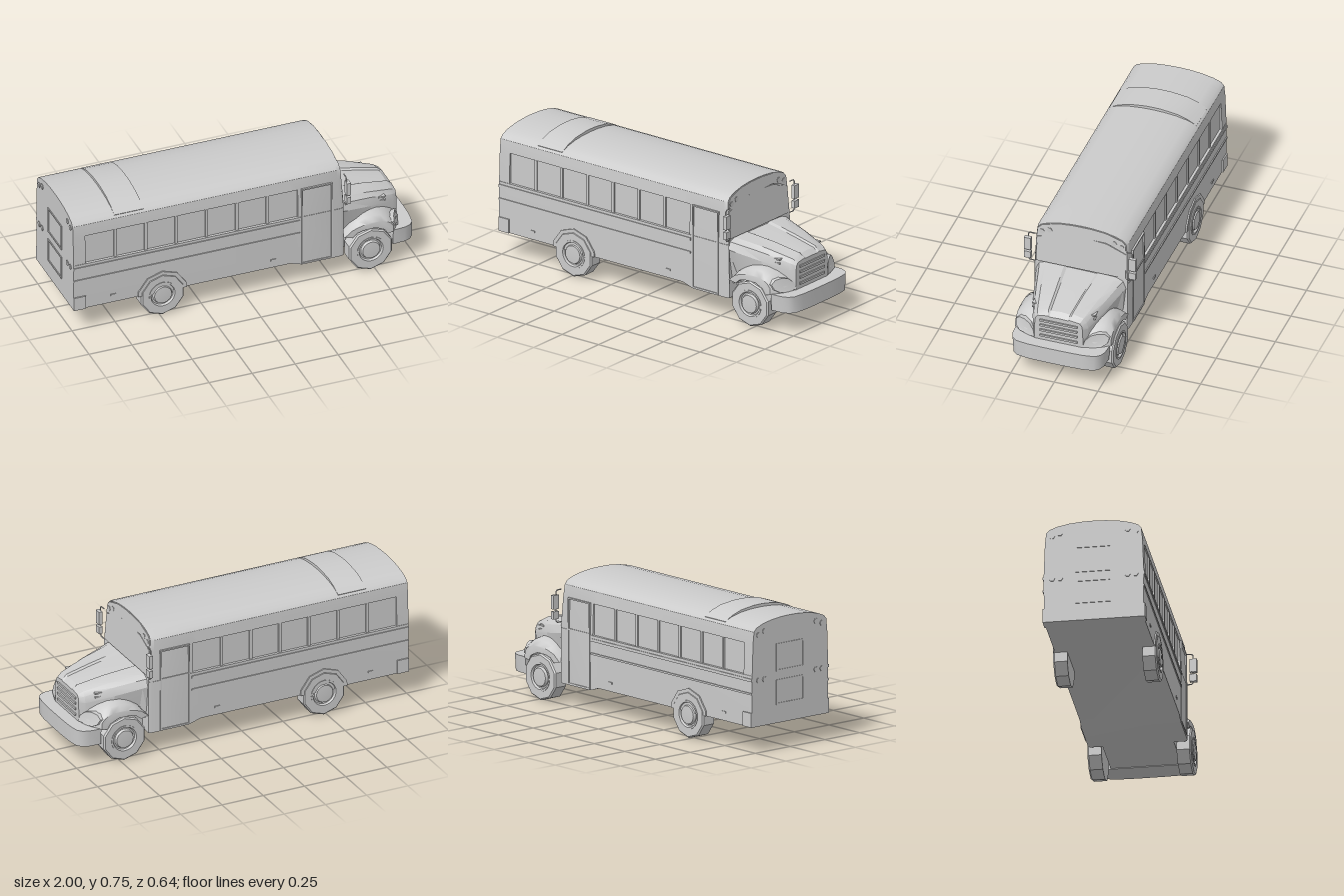
import * as THREE from 'three';
import { toCreasedNormals } from 'three/addons/utils/BufferGeometryUtils.js';

const material = new THREE.MeshStandardMaterial({ color: 0xcccccc, side: THREE.DoubleSide });

// Move every vertex by a rule
function bend(geo, rule) {
  const p = geo.attributes.position, v = new THREE.Vector3();
  for (let i = 0; i < p.count; i++) {
    rule(v.fromBufferAttribute(p, i));
    p.setXYZ(i, v.x, v.y, v.z);
  }
  return geo;
}

// Copy reflected across z = 0, with the winding restored
function reflect(geo) {
  const g = geo.index ? geo.toNonIndexed() : geo.clone();
  g.scale(1, 1, -1);
  const p = g.attributes.position, a = new THREE.Vector3(), b = new THREE.Vector3();
  for (let i = 0; i < p.count; i += 3) {
    a.fromBufferAttribute(p, i + 1);
    b.fromBufferAttribute(p, i + 2);
    p.setXYZ(i + 1, b.x, b.y, b.z);
    p.setXYZ(i + 2, a.x, a.y, a.z);
  }
  return g;
}

// Skin symmetric sections; each is { x, half: [[z, y], ...] } from floor to ridge
function loft(sections) {
  const pos = [], idx = [];
  const n = sections[0].half.length * 2 - 1;
  for (const { x, half } of sections) {
    const at = typeof x === 'function' ? x : () => x;
    for (const [z, y] of half) pos.push(at(y), y, z);
    for (const [z, y] of half.slice(0, -1).reverse()) pos.push(at(y), y, -z);
  }
  for (let s = 0; s < sections.length - 1; s++) for (let i = 0; i < n; i++) {
    const a = s * n + i, b = s * n + (i + 1) % n;
    idx.push(a, a + n, b, b, a + n, b + n);
  }
  const e = (sections.length - 1) * n;
  for (let i = 1; i < n - 1; i++) idx.push(0, i, i + 1, e, e + i + 1, e + i);
  const g = new THREE.BufferGeometry();
  g.setAttribute('position', new THREE.Float32BufferAttribute(pos, 3));
  g.setIndex(idx);
  return g;
}

const shapeOf = pts => new THREE.Shape(pts.map(([x, y]) => new THREE.Vector2(x, y)));
const extrude = (shape, depth, steps = 1) =>
  new THREE.ExtrudeGeometry(shape, { depth, steps, bevelEnabled: false, curveSegments: 10 });
const box = (x0, x1, y0, y1, z0, z1) => new THREE.BoxGeometry(x1 - x0, y1 - y0, z1 - z0)
  .translate((x0 + x1) / 2, (y0 + y1) / 2, (z0 + z1) / 2);
// x of the raked cab front at a height
const cabFront = y => 0.55 + (0.73 - Math.max(y, 0.45)) * 0.08;

export function createModel() {
  const bus = new THREE.Group();
  const add = (name, geo, crease = 0.6) => {
    const m = new THREE.Mesh(toCreasedNormals(geo, crease), material);
    m.name = name;
    bus.add(m);
  };
  const pair = (name, geo, crease) => {
    add(name + 'Left', geo, crease);
    add(name + 'Right', reflect(geo), crease);
  };

  // Body shell with a recessed window band
  const bodyHalf = (floor, win = 0, k = 1) => [
    [0.272, floor], [0.274, 0.43], [win || 0.273, 0.431], [win || 0.267, 0.604], [0.267, 0.605],
    [0.26, 0.672], [0.243, 0.692], [0.2, 0.709], [0.135, 0.723], [0.065, 0.73], [0, 0.732],
  ].map(([z, y]) => [z * k, y]);
  add('body', loft([
    { x: -1, half: bodyHalf(0.145) },
    { x: -0.93, half: bodyHalf(0.145) },
    { x: -0.93, half: bodyHalf(0.145, 0.26) },
    { x: 0.26, half: bodyHalf(0.145, 0.26) },
    { x: 0.305, half: bodyHalf(0.13, 0.26) },
    { x: 0.305, half: bodyHalf(0.13) },
    { x: 0.33, half: bodyHalf(0.123) },
    { x: y => cabFront(y) - 0.02, half: bodyHalf(0.123) },
    { x: cabFront, half: bodyHalf(0.123, 0, 0.975) },
  ]));
  add('roofHatch', loft([-0.755, -0.585].map(x => ({
    x, half: [[0.24, 0.66], [0.25, 0.688], [0.2, 0.715], [0.135, 0.736], [0.045, 0.747], [0, 0.748]],
  }))));

  // Window posts, side rails, marker lamps, rear corner guards
  for (let i = 1; i < 7; i++) {
    const x = -0.93 + i * 1.235 / 7;
    pair('windowPost', box(x - 0.008, x + 0.008, 0.43, 0.605, 0.25, 0.268));
  }
  for (const [y, h] of [[0.398, 0.016], [0.325, 0.01]])
    pair('sideRail', box(-1, 0.315, y, y + h, 0.265, 0.279));
  for (const x of [-0.77, 0.16]) pair('markerLamp', box(x - 0.015, x + 0.015, 0.188, 0.198, 0.265, 0.277));
  pair('rearGuard', box(-1, -0.93, 0.145, 0.225, 0.2, 0.28));
  add('rearBumper', box(-1, -0.985, 0.145, 0.225, -0.2, 0.2));

  // Door frames on both sides, with a window sill on the far one
  for (const x of [0.325, 0.497]) pair('doorPost', box(x, x + 0.008, 0.13, 0.605, 0.262, 0.277));
  pair('doorHead', box(0.325, 0.505, 0.6, 0.608, 0.26, 0.277));
  pair('doorSill', box(0.325, 0.505, 0.128, 0.136, 0.26, 0.277));
  add('doorWindowSill', box(0.33, 0.5, 0.43, 0.438, -0.277, -0.262));

  // Emergency door windows at the rear
  for (const [y0, y1] of [[0.245, 0.385], [0.43, 0.585]]) {
    const frame = shapeOf([[-0.1, y0], [0.1, y0], [0.1, y1], [-0.1, y1]]);
    frame.holes.push(shapeOf([[-0.09, y0 + 0.01], [-0.09, y1 - 0.01], [0.09, y1 - 0.01], [0.09, y0 + 0.01]]));
    add('rearWindowFrame', extrude(frame, 0.006).rotateY(Math.PI / 2).translate(-1.004, 0, 0));
  }

  // Hexagonal lamps, front and rear
  const lamp = (x, y, z) => new THREE.CylinderGeometry(0.016, 0.016, 0.012, 6)
    .rotateZ(Math.PI / 2).translate(x, y, z);
  for (const [z, y] of [[0.185, 0.668], [0.228, 0.652]]) {
    pair('roofLampFront', lamp(cabFront(y), y, z));
    pair('roofLampRear', lamp(-0.998, y, z));
    pair('tailLamp', lamp(-0.998, 0.4, z));
  }

  // Windscreen and brow, following the cab rake
  const frontPanel = (pts, depth) => bend(extrude(shapeOf(pts), depth).rotateY(Math.PI / 2),
    v => { v.x += cabFront(v.y) - 0.003; });
  const outline = half => [...half, ...half.map(([z, y]) => [-z, y]).reverse()];
  add('windscreen', frontPanel(outline([[0.257, 0.462], [0.255, 0.612], [0.14, 0.655], [0.05, 0.661]]), 0.006));
  add('brow', frontPanel(outline([[0.255, 0.618], [0.25, 0.672], [0.23, 0.692], [0.135, 0.72], [0.05, 0.727]])
    .concat([[-0.05, 0.667], [-0.14, 0.661], [-0.255, 0.618]].slice(0, 2), [[0.14, 0.661]]), 0.007));

  // Tapering hood with two ridges
  add('hood', loft([
    { x: 0.56, half: [[0.24, 0.2], [0.262, 0.4], [0.245, 0.44], [0.205, 0.455], [0.1, 0.457], [0.085, 0.449], [0, 0.449]] },
    { x: 0.6, half: [[0.2, 0.2], [0.25, 0.39], [0.232, 0.432], [0.196, 0.449], [0.096, 0.452], [0.081, 0.444], [0, 0.445]] },
    { x: 0.75, half: [[0.195, 0.2], [0.21, 0.36], [0.195, 0.405], [0.167, 0.425], [0.08, 0.432], [0.068, 0.423], [0, 0.426]] },
    { x: 0.9, half: [[0.15, 0.2], [0.16, 0.33], [0.15, 0.366], [0.132, 0.388], [0.068, 0.404], [0.056, 0.396], [0, 0.401]] },
    { x: 0.93, half: [[0.14, 0.2], [0.137, 0.33], [0.132, 0.355], [0.12, 0.37], [0.062, 0.379], [0.052, 0.374], [0, 0.376]] },
  ]), 0.4);
  for (const y of [0.245, 0.28, 0.312, 0.344]) add('grilleSlat', box(0.92, 0.938, y - 0.006, y + 0.006, -0.107, 0.107));
  for (const y of [0.36, 0.382]) pair('hoodVent', box(0.81, 0.85, y - 0.004, y + 0.004, 0.15, 0.182));
  add('engineFloor', box(0.55, 0.88, 0.125, 0.25, -0.195, 0.195));

  // Fenders: arched over the wheel, rounded back toward the outside
  const fender = shapeOf([[0.575, 0.235], [0.62, 0.29], [0.66, 0.318], [0.7, 0.336], [0.745, 0.342],
    [0.79, 0.337], [0.84, 0.318], [0.885, 0.29], [0.92, 0.25], [0.925, 0.212], [0.855, 0.205]]);
  for (let i = 1; i < 8; i++) {
    const a = (0.17 + i * 0.085) * Math.PI;
    fender.lineTo(0.725 + 0.14 * Math.cos(a), 0.13 + 0.14 * Math.sin(a));
  }
  const sweepBack = z => 0.065 * Math.max(0, (z - 0.13) / 0.145) ** 2;
  pair('fender', bend(extrude(fender, 0.145, 6).translate(0, 0, 0.13), v => {
    const t = (v.z - 0.13) / 0.145;
    v.y -= 0.045 * t ** 5 * Math.max(0, (v.y - 0.25) / 0.09);
    v.x -= sweepBack(v.z) * Math.max(0, (v.x - 0.8) / 0.125);
  }), 0.8);

  // Headlamps wrapped round the fender noses
  const lens = shapeOf([[-0.138, 0.222], [-0.148, 0.262], [-0.175, 0.287], [-0.21, 0.296], [-0.245, 0.29],
    [-0.268, 0.268], [-0.262, 0.24], [-0.235, 0.222]]);
  pair('headlamp', bend(extrude(lens, 0.05).rotateY(Math.PI / 2), v => {
    v.x += 0.885 - sweepBack(v.z) - Math.max(0, v.y - 0.245) * 0.5;
  }));

  // Wraparound front bumper
  const plan = [[0.86, 0.27], [0.93, 0.266], [0.965, 0.252], [0.987, 0.225], [0.997, 0.16], [1, 0.07]];
  const bumper = shapeOf([...plan, ...plan.map(([x, z]) => [x, -z]).reverse()]);
  add('frontBumper', bend(extrude(bumper, 0.095).rotateX(Math.PI / 2).translate(0, 0.216, 0),
    v => { if (v.y < 0.15) v.z *= 0.975; }));

  // Wheels: ten-sided tyres with round hubs
  const spin = (pts, n) => new THREE.LatheGeometry(pts.map(([r, y]) => new THREE.Vector2(r, y)), n).rotateX(Math.PI / 2);
  for (const x of [-0.485, 0.725]) {
    pair('tyre', spin([[0, 0.205], [0.13, 0.205], [0.13, 0.275], [0.122, 0.283], [0.078, 0.283], [0.07, 0.268], [0, 0.268]], 10)
      .translate(x, 0.13, 0), 0.3);
    pair('hub', spin([[0.08, 0.26], [0.08, 0.286], [0.07, 0.286], [0.064, 0.274], [0.056, 0.274], [0.05, 0.288], [0, 0.291]], 24)
      .translate(x, 0.13, 0), 0.5);
  }
  // Ten-sided trim above each rear wheel
  const arch = [[-0.627, 0.145]];
  for (let i = 4; i >= -4; i -= 2) {
    const a = Math.PI / 2 + i * Math.PI / 10;
    arch.push([-0.485 + 0.146 * Math.cos(a), 0.13 + 0.146 * Math.sin(a)]);
  }
  arch.push([-0.343, 0.145]);
  pair('wheelArch', extrude(shapeOf(arch), 0.015).translate(0, 0, 0.265), 0.3);

  // Side mirrors on bent brackets
  const path = new THREE.CurvePath();
  const knots = [[0.262, 0.64], [0.292, 0.64], [0.3, 0.63], [0.3, 0.47], [0.292, 0.46], [0.262, 0.46]]
    .map(([z, y]) => new THREE.Vector3(0.575, y, z));
  for (let i = 1; i < knots.length; i++) path.add(new THREE.LineCurve3(knots[i - 1], knots[i]));
  pair('mirrorBracket', new THREE.TubeGeometry(path, 40, 0.0035, 6));
  for (const [y0, y1] of [[0.535, 0.612], [0.48, 0.522]])
    pair('mirror', box(0.572, 0.594, y0, y1, 0.281, 0.32));

  return bus;
}
